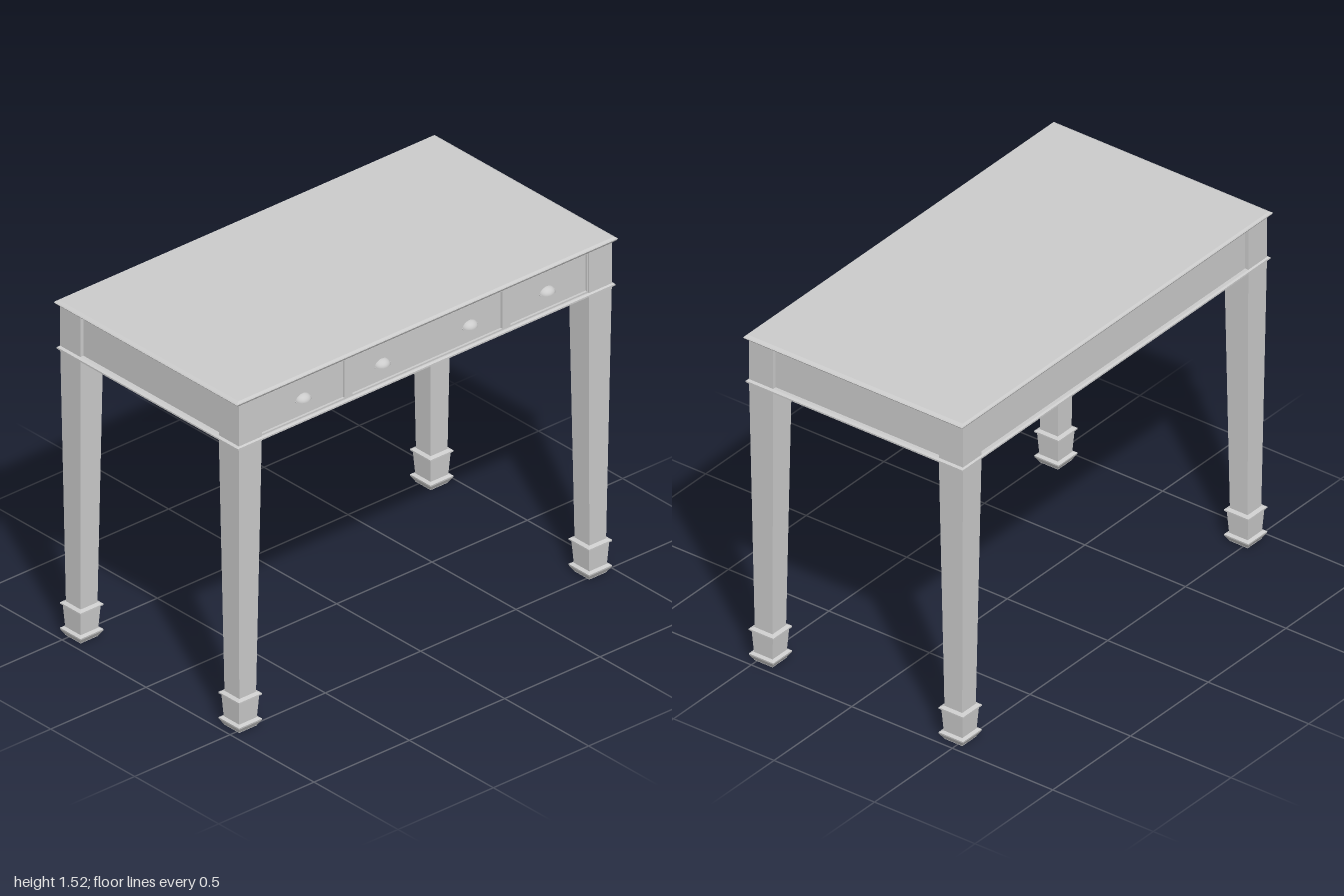
import * as THREE from 'three';

const mat = new THREE.MeshStandardMaterial({ color: 0xcccccc, flatShading: true });
const smooth = new THREE.MeshStandardMaterial({ color: 0xcccccc, side: THREE.DoubleSide });

function add(parent, name, geo, x = 0, y = 0, z = 0, material = mat) {
  const mesh = new THREE.Mesh(geo, material);
  mesh.name = name;
  mesh.position.set(x, y, z);
  parent.add(mesh);
  return mesh;
}

// Stack of rectangles [y, halfX, halfZ] joined into a closed solid
function loft(rows) {
  const pos = [], idx = [];
  for (const [y, hx, hz] of rows) pos.push(-hx, y, hz, hx, y, hz, hx, y, -hz, -hx, y, -hz);
  for (let r = 0; r < rows.length - 1; r++) {
    for (let i = 0; i < 4; i++) {
      const a = r * 4 + i, b = r * 4 + (i + 1) % 4;
      idx.push(a, b, b + 4, a, b + 4, a + 4);
    }
  }
  const t = (rows.length - 1) * 4;
  idx.push(0, 2, 1, 0, 3, 2, t, t + 1, t + 2, t, t + 2, t + 3);
  const geo = new THREE.BufferGeometry();
  geo.setAttribute('position', new THREE.Float32BufferAttribute(pos, 3));
  geo.setIndex(idx);
  const flat = geo.toNonIndexed();
  flat.computeVertexNormals();
  return flat;
}

export function createModel() {
  const desk = new THREE.Group();
  desk.name = 'desk';
  const body = new THREE.Group();
  body.name = 'body';
  body.position.z = -0.004;
  desk.add(body);

  const HX = 0.978, HZ = 0.532, LX = 0.918, LZ = 0.472;
  const yLow = 1.3, yHigh = 1.5, yMid = 1.4;

  // Table top and lower edge, both with a moulded rim
  const slab = (rows) => loft(rows.map(([y, d]) => [y, HX + d, HZ + d * 0.6]));
  add(body, 'tableTop', slab([[1.494, 0], [1.5, 0.01], [1.503, 0.016], [1.51, 0.022], [1.514, 0.018], [1.52, 0.006]]));
  add(body, 'lowerMoulding', slab([[1.295, 0.002], [1.299, 0.012], [1.306, 0.012], [1.311, 0]]));

  // Recessed case behind the posts
  const recess = 0.016;
  add(body, 'case', new THREE.BoxGeometry(2 * (HX - recess), yHigh - yLow, 2 * (HZ - recess)), 0, yMid, 0);

  // Drawer frame with three openings
  const drawers = [[-0.853, -0.42], [-0.378, 0.408], [0.45, 0.853]];
  const rect = (S, x0, y0, x1, y1) => {
    const s = new S();
    s.moveTo(x0, y0); s.lineTo(x1, y0); s.lineTo(x1, y1); s.lineTo(x0, y1); s.closePath();
    return s;
  };
  const frame = rect(THREE.Shape, -0.86, yLow, 0.86, yHigh);
  for (const [a, b] of drawers) frame.holes.push(rect(THREE.Path, a, 1.318, b, 1.487));
  add(body, 'drawerFrame', new THREE.ExtrudeGeometry(frame, { depth: 0.014, bevelEnabled: false }), 0, 0, HZ - recess - 0.003);
  for (const [a, b] of drawers) {
    add(body, 'drawerFront', new THREE.BoxGeometry(b - a - 0.008, 0.161, 0.012), (a + b) / 2, 1.4025, HZ - recess);
  }

  // Cup pulls: quarter domes open underneath
  for (const x of [-0.635, -0.22, 0.24, 0.645]) {
    const cup = new THREE.SphereGeometry(1, 20, 8, 0, Math.PI, 0, Math.PI / 2);
    cup.scale(0.037, 0.027, 0.034);
    add(body, 'drawerPull', cup, x, 1.392, HZ - 0.012, smooth);
    add(body, 'pullPlate', new THREE.BoxGeometry(0.078, 0.005, 0.012), x, 1.392, HZ - 0.008);
  }

  // Corner posts and tapered legs with collared feet
  const square = (rows) => loft(rows.map(([y, h]) => [y, h, h]));
  const legGeo = square([[0.145, 0.044], [1.3, 0.06]]);
  const collarGeo = square([[0.137, 0.052], [0.141, 0.061], [0.147, 0.061], [0.153, 0.045]]);
  const ankleGeo = square([[0.034, 0.046], [0.139, 0.053]]);
  const footGeo = square([[0.002, 0.046], [0.025, 0.06], [0.032, 0.061], [0.038, 0.047]]);
  const pad = rect(THREE.Shape, -0.046, -0.046, 0.046, 0.046);
  pad.holes.push(rect(THREE.Path, -0.022, -0.022, 0.022, 0.022));
  const padGeo = new THREE.ExtrudeGeometry(pad, { depth: 0.003, bevelEnabled: false });
  padGeo.rotateX(-Math.PI / 2);
  for (const sx of [-1, 1]) {
    for (const sz of [-1, 1]) {
      const leg = new THREE.Group();
      leg.name = (sz > 0 ? 'front' : 'back') + (sx > 0 ? 'Left' : 'Right') + 'Leg';
      leg.position.set(sx * LX, 0, sz * LZ);
      body.add(leg);
      add(leg, 'cornerPost', new THREE.BoxGeometry(0.12, yHigh - yLow, 0.12), 0, yMid, 0);
      add(leg, 'shaft', legGeo);
      add(leg, 'collar', collarGeo);
      add(leg, 'ankle', ankleGeo);
      add(leg, 'foot', footGeo);
      add(leg, 'footPad', padGeo);
    }
  }

  // Small round knob under the case
  const knob = [[0, -0.015], [0.022, -0.015], [0.032, -0.011], [0.042, -0.002], [0.042, 0.004]];
  add(body, 'undersideKnob', new THREE.LatheGeometry(knob.map(([x, y]) => new THREE.Vector2(x, y)), 24), -0.75, 1.295, 0.275, smooth);

  return desk;
}
